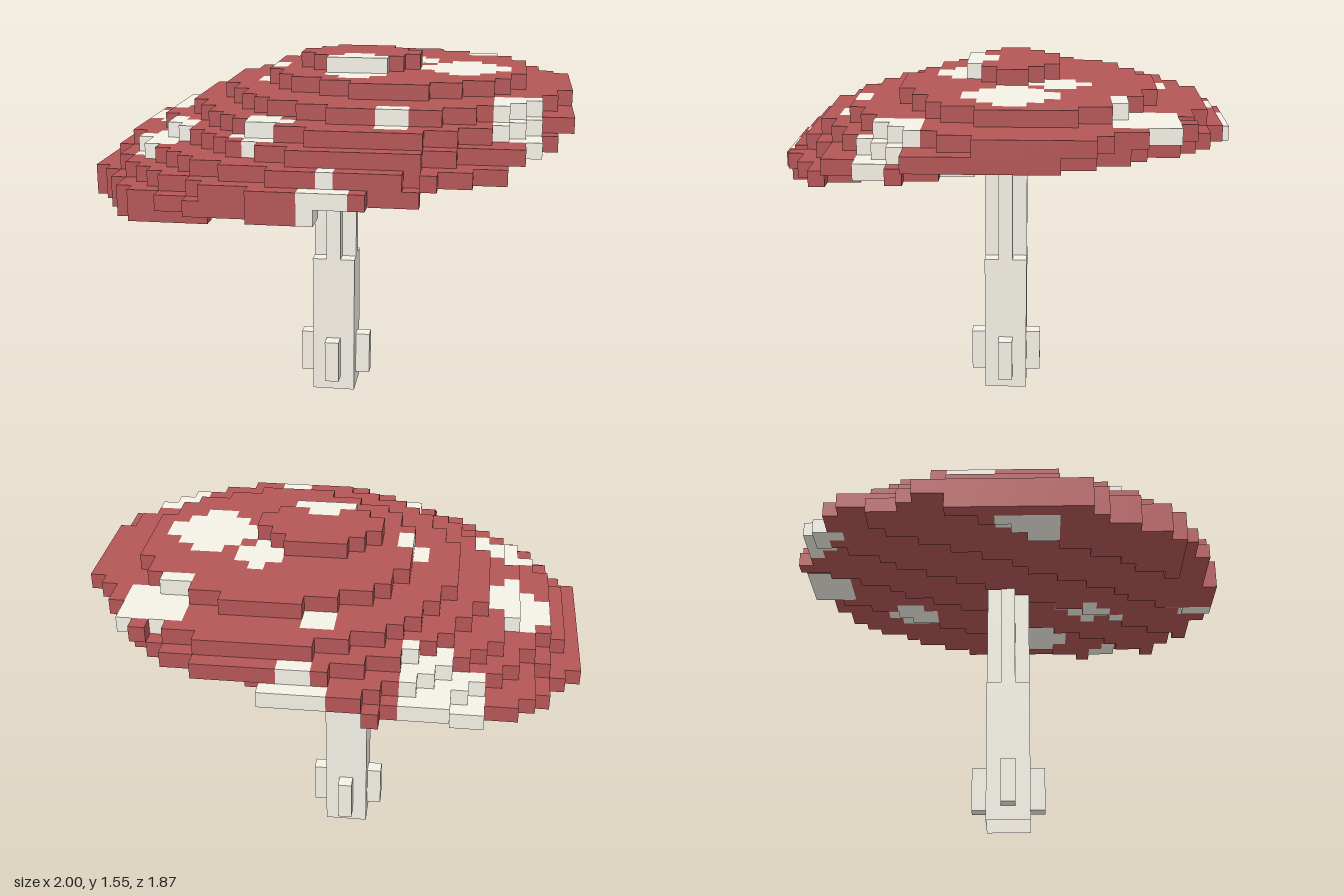
import * as THREE from 'three';

const S = 2 / 31;      // cap voxel edge
const T = 0.063;       // stem voxel edge

// Mesh of the exposed faces of all cells for which pick() is true.
// solid() tells which cells are filled; offset is the middle of cell (0, y, 0).
function voxelMesh(name, color, solid, pick, size, offset, openBottom = false) {
  const pos = [];
  const face = (c, axis, sign) => {
    const u = (axis + 1) % 3, v = (axis + 2) % 3;
    const corners = [[-1, -1], [1, -1], [1, 1], [-1, 1]].map(([a, b]) => {
      const p = [c[0], c[1] + 0.5, c[2]];
      p[axis] += sign / 2;
      p[u] += a / 2;
      p[v] += b / 2;
      return p.map((k, i) => k * size + offset[i]);
    });
    const order = sign > 0 ? [0, 1, 2, 0, 2, 3] : [0, 2, 1, 0, 3, 2];
    for (const i of order) pos.push(...corners[i]);
  };
  for (let x = -15; x <= 15; x++)
    for (let y = 0; y < 24; y++)
      for (let z = -14; z <= 14; z++) {
        if (!solid(x, y, z) || !pick(x, y, z)) continue;
        for (let axis = 0; axis < 3; axis++)
          for (const sign of [-1, 1]) {
            const n = [x, y, z];
            n[axis] += sign;
            if (solid(...n) || (openBottom && n[1] < 0)) continue;
            face([x, y, z], axis, sign);
          }
      }
  const geo = new THREE.BufferGeometry();
  geo.setAttribute('position', new THREE.Float32BufferAttribute(pos, 3));
  geo.computeVertexNormals();
  const mesh = new THREE.Mesh(geo, new THREE.MeshStandardMaterial({ color, side: THREE.DoubleSide }));
  mesh.name = name;
  return mesh;
}

// Half width in cells of the cap outline, by distance of the row from the middle
const OUTLINE = [15, 15, 15, 15, 15, 15, 14, 13, 13, 12, 12, 11, 9, 7, 3];

// Dome contours from the top layer down: centre x, z and radii
const CONTOURS = [
  [1.5, -0.5, 4, 3],
  [4, -1.5, 8.5, 8],
  [4, -1.5, 11.5, 11],
  [3, -1, 12.5, 12.5],
  [2.5, -1, 14, 13.5],
  [1.5, -0.5, 15, 14],
  [0.5, 0, 15, 14.5],
];

// Pale spots: x, z, radius
const TOP_SPOTS = [
  [8.5, -0.5, 2.75], [1.5, 2.5, 1.7], [5, -3.5, 1.6], [-4.5, -0.5, 1],
  [-11.5, -2, 2.2], [-10.5, 5.5, 2], [-3.5, 9, 1.7], [4.5, 9.5, 1],
  [12, 6.3, 2], [0.5, -9.5, 1], [10.5, -8.5, 2.2], [-7, -11.5, 2.5],
  [1.5, -14, 1.7], [1, 14, 1],
];
const UNDER_SPOTS = [
  [10.5, 2, 2.2], [7, -7.5, 2.2], [3, 6, 2], [-13, 1.5, 2],
  [1.5, -13, 2], [1, 13.5, 1.5],
];
const inSpot = (spots, x, z) => spots.some(([cx, cz, r]) => Math.hypot(x - cx, z - cz) <= r);

// Lowest and highest layer of the cap in a column, or null outside the outline
function column(x, z) {
  const a = Math.abs(z);
  if (a > 14 || Math.abs(x) > OUTLINE[a]) return null;
  const i = CONTOURS.findIndex(([cx, cz, rx, rz]) => ((x - cx) / rx) ** 2 + ((z - cz) / rz) ** 2 <= 1);
  const top = i < 0 ? 16 : 23 - i;
  // Underside: a tilted plane cut into steps, never thinner than one layer
  const low = Math.max(z > 11 ? 16 : 15, 16 + Math.floor((x - 0.57 * z + 13) / 6));
  return [low, Math.max(low, top)];
}

function capSolid(x, y, z) {
  const c = column(x, z);
  return c !== null && y >= c[0] && y <= c[1];
}

function isSpot(x, y, z) {
  const [low, top] = column(x, z);
  return (y === top && inSpot(TOP_SPOTS, x, z)) || (y === low && inSpot(UNDER_SPOTS, x, z));
}

// Square foot, four small fins and a cross-shaped upper part
function stemSolid(x, y, z) {
  const a = Math.abs(x), b = Math.abs(z);
  if (y < 0 || y > 18) return false;
  if (y >= 10) return a + b <= 1;
  if (a <= 1 && b <= 1) return true;
  return y >= 1 && y <= 3 && a + b === 2 && a * b === 0;
}

export function createModel() {
  const group = new THREE.Group();
  group.name = 'mushroom';
  group.add(
    voxelMesh('cap', 0xb45656, capSolid, (x, y, z) => !isSpot(x, y, z), S, [0, 0, 0]),
    voxelMesh('capSpots', 0xf4f0e6, capSolid, isSpot, S, [0, 0, 0]),
    voxelMesh('stem', 0xf4f0e6, stemSolid, () => true, T, [-0.013, 0, 0.006], true),
  );
  return group;
}
